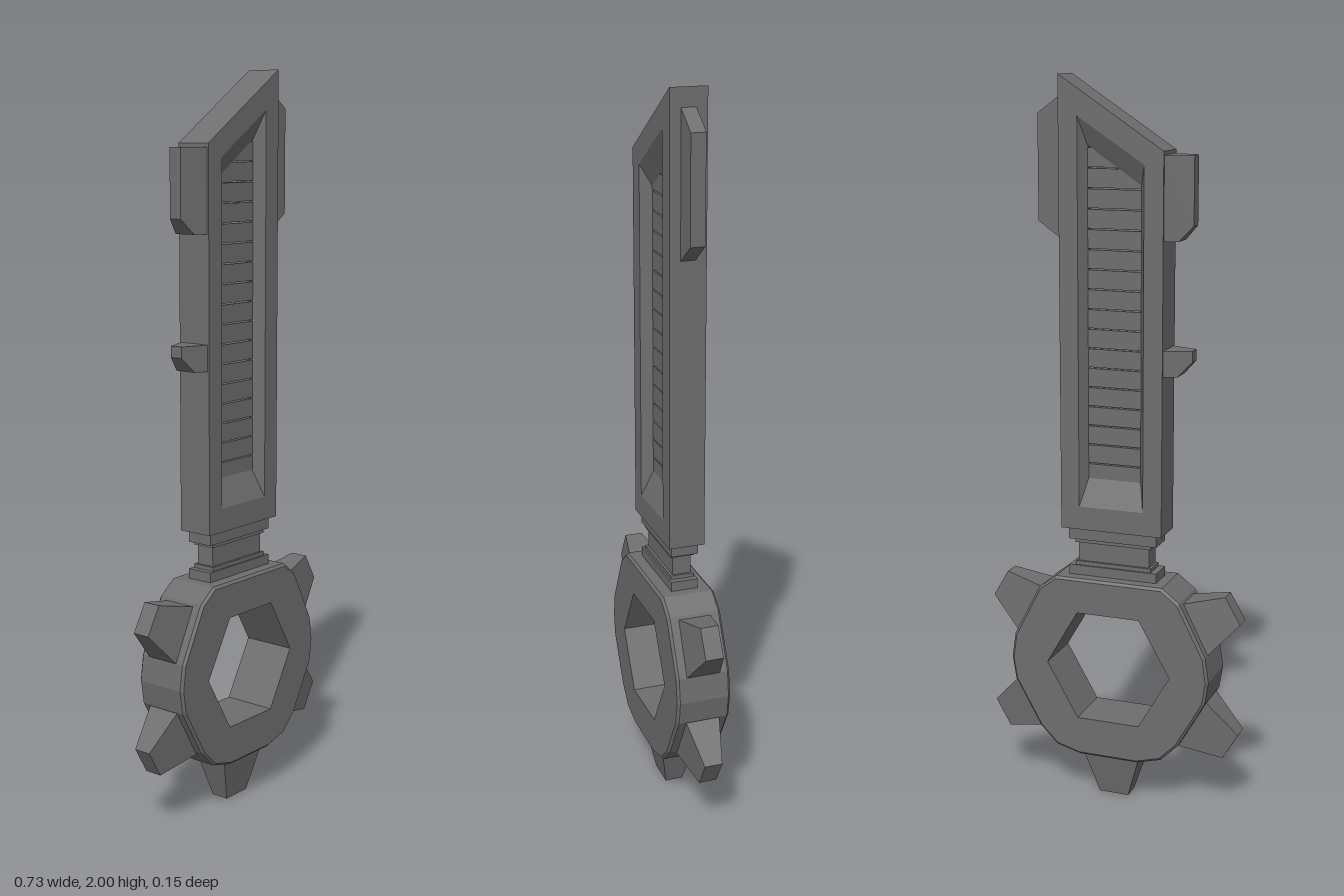
import * as THREE from 'three';

const mat = new THREE.MeshStandardMaterial({ color: 0x6e6e6e, flatShading: true });

function add(parent, name, geometry) {
  const mesh = new THREE.Mesh(geometry, mat);
  mesh.name = name;
  parent.add(mesh);
  return mesh;
}

const shapeOf = pts => new THREE.Shape(pts.map(p => new THREE.Vector2(...p)));

// Straight prism centred on z = 0
function prism(pts, depth) {
  return new THREE.ExtrudeGeometry(shapeOf(pts), { depth, bevelEnabled: false }).translate(0, 0, -depth / 2);
}

// Closed band through outlines of equal length, each given as [points, z]
function closedLoft(loops) {
  const pos = [];
  loops.forEach(([a, za], k) => {
    const [b, zb] = loops[(k + 1) % loops.length];
    a.forEach((p, i) => {
      const j = (i + 1) % a.length;
      const A = [...p, za], B = [...b[i], zb], C = [...b[j], zb], D = [...a[j], za];
      pos.push(...A, ...B, ...C, ...A, ...C, ...D);
    });
  });
  const g = new THREE.BufferGeometry();
  g.setAttribute('position', new THREE.Float32BufferAttribute(pos, 3));
  g.computeVertexNormals();
  return g;
}

export function createModel() {
  const model = new THREE.Group();
  model.name = 'key';

  // Blade frame with a slanted top and a bevelled window on both faces
  const slanted = (w, y0, yl, yr) => [[-w, y0], [w, y0], [w, yr], [-w, yl]];
  const outer = slanted(0.145, 0.785, 1.81, 2.0);
  const rim = slanted(0.092, 0.85, 1.775, 1.895);
  const inner = slanted(0.075, 0.925, 1.72, 1.82);
  add(model, 'bladeFrame', closedLoft([
    [inner, 0.02], [rim, 0.05], [outer, 0.05], [outer, -0.05], [rim, -0.05], [inner, -0.02],
  ]));

  const block = (parent, name, w, y0, y1, d) =>
    add(parent, name, new THREE.BoxGeometry(w, y1 - y0, d)).position.set(0, (y0 + y1) / 2, 0);

  // Slats filling the window, their ends buried in the frame
  const slats = new THREE.Group();
  slats.name = 'slats';
  model.add(slats);
  for (let i = 0; i < 17; i++) {
    const y = 0.916 + i * 0.053;
    block(slats, 'slat', 0.156, y, y + 0.0495, 0.04);
  }

  // Fin on the left edge of the blade
  add(model, 'leftFin', prism([[0.14, 1.57], [0.145, 1.57], [0.215, 1.62], [0.215, 1.9], [0.145, 1.95], [0.14, 1.95]], 0.04));

  // Teeth on the right edge, thinning outwards
  const thinned = pts => {
    const g = prism(pts, 0.09), p = g.attributes.position;
    for (let i = 0; i < p.count; i++) {
      const t = THREE.MathUtils.clamp((-0.145 - p.getX(i)) / 0.07, 0, 1);
      p.setZ(i, p.getZ(i) * (1 - 0.6 * t));
    }
    g.computeVertexNormals();
    return g;
  };
  const edgeTooth = (top, mid, low) => thinned(
    [[-0.145, top], [-0.217, top], [-0.217, mid], [-0.18, low], [-0.145, low]]);
  add(model, 'upperEdgeTooth', edgeTooth(1.8, 1.62, 1.58));
  add(model, 'lowerEdgeTooth', edgeTooth(1.295, 1.265, 1.225));

  // Stepped neck between blade and ring
  block(model, 'upperCollar', 0.254, 0.752, 0.787, 0.076);
  block(model, 'upperCollarStep', 0.22, 0.742, 0.752, 0.066);
  block(model, 'neck', 0.206, 0.67, 0.745, 0.052);
  block(model, 'lowerCollarStep', 0.22, 0.677, 0.688, 0.066);
  block(model, 'lowerCollar', 0.254, 0.64, 0.677, 0.076);

  // Bow ring with chamfered outer rims and a straight six-sided hole
  const cy = 0.395, holeR = 0.18;
  const half = [[0.085, 0.128], [0.155, 0.147], [0.205, 0.197], [0.28, 0.33], [0.29, cy], [0.28, 0.465], [0.205, 0.612], [0.155, 0.65]]
    .map(([x, y]) => [x, y - cy]);
  const ring = shapeOf([...half, ...half.map(([x, y]) => [-x, y]).reverse()]);
  const hex = [];
  for (let i = 0; i < 6; i++) {
    const a = -i * Math.PI / 3;
    hex.push(new THREE.Vector2(holeR * Math.cos(a), holeR * Math.sin(a)));
  }
  ring.holes.push(new THREE.Path(hex));
  const ringGeo = new THREE.ExtrudeGeometry(ring, {
    depth: 0.138, bevelThickness: 0.007, bevelSize: 0.007, bevelOffset: -0.007, bevelSegments: 1,
  }).translate(0, 0, -0.069);
  const rp = ringGeo.attributes.position;
  for (let i = 0; i < rp.count; i++) {
    const r = Math.hypot(rp.getX(i), rp.getY(i));
    if (r < 0.21) rp.setXY(i, rp.getX(i) * holeR / r, rp.getY(i) * holeR / r);
  }
  ringGeo.computeVertexNormals();
  add(model, 'bowRing', ringGeo).position.y = cy;

  // Five tapered cogs around the ring
  for (const deg of [-90, -30, 30, 150, 210]) {
    const g = new THREE.BoxGeometry(1, 2, 2), p = g.attributes.position;
    for (let i = 0; i < p.count; i++) {
      const tip = p.getX(i) > 0;
      p.setXYZ(i, tip ? 0.395 : 0.23, p.getY(i) * (tip ? 0.043 : 0.094), p.getZ(i) * (tip ? 0.025 : 0.056));
    }
    g.computeVertexNormals();
    const cog = add(model, 'cog', g);
    cog.position.y = cy;
    cog.rotation.z = THREE.MathUtils.degToRad(deg);
  }
  return model;
}
